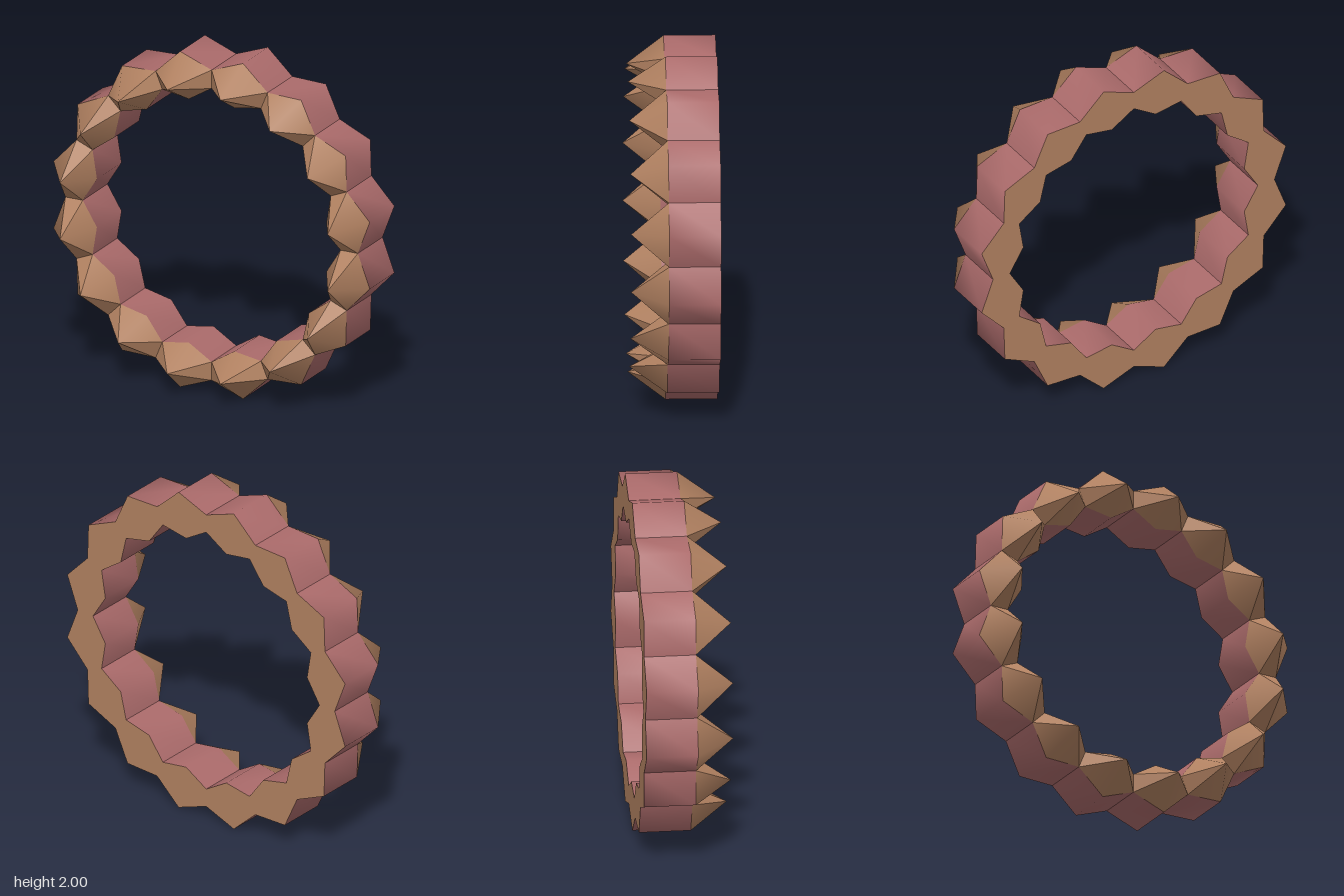
import * as THREE from 'three';
import { mergeGeometries } from 'three/addons/utils/BufferGeometryUtils.js';

const COUNT = 16, STEP = (Math.PI * 2) / COUNT;
const BACK = -0.25, RIM = 0.04, TIP = 0.25;
const OUTER_PEAK = 1 / Math.cos(STEP / 2), OUTER_VALLEY = 0.925;
const INNER_PEAK = 0.74, INNER_VALLEY = 0.815, TIP_RADIUS = 0.863;

// Point on the ring, which is centred at y = 1
const polar = (r, a, z) => [r * Math.cos(a), 1 + r * Math.sin(a), z];

// Small surface whose shared corners are shaded smoothly
function patch(points, index) {
  const g = new THREE.BufferGeometry();
  g.setAttribute('position', new THREE.Float32BufferAttribute(points.flat(), 3));
  g.setIndex(index);
  g.computeVertexNormals();
  return g;
}

// Six corners of one segment, counter-clockwise from the front
function hexagon(i, z) {
  const a = i * STEP, m = a + STEP / 2, b = a + STEP;
  return [
    polar(OUTER_VALLEY, a, z), polar(OUTER_PEAK, m, z), polar(OUTER_VALLEY, b, z),
    polar(INNER_VALLEY, b, z), polar(INNER_PEAK, m, z), polar(INNER_VALLEY, a, z),
  ];
}

export function createModel() {
  const group = new THREE.Group();
  const brown = new THREE.MeshStandardMaterial({ color: 0xb08060 });
  const red = new THREE.MeshStandardMaterial({ color: 0xaa6a6a });
  const outer = [], inner = [], spikes = [], back = [];

  for (let i = 0; i < COUNT; i++) {
    const f = hexagon(i, RIM), k = hexagon(i, BACK);
    const tip = polar(TIP_RADIUS, (i + 0.5) * STEP, TIP);

    // Walls: each bends softly over its peak and creases at the valleys
    const wall = [0, 1, 4, 0, 4, 3, 1, 2, 5, 1, 5, 4];
    outer.push(patch([k[0], k[1], k[2], f[0], f[1], f[2]], wall));
    inner.push(patch([k[3], k[4], k[5], f[3], f[4], f[5]], wall));

    // Six-sided spike: soft outer and inner flanks, flat ends
    const flank = [0, 1, 2, 0, 2, 3];
    spikes.push(patch([tip, f[0], f[1], f[2]], flank));
    spikes.push(patch([tip, f[3], f[4], f[5]], flank));
    spikes.push(patch([tip, f[2], f[3]], [0, 1, 2]));
    spikes.push(patch([tip, f[5], f[0]], [0, 1, 2]));

    // Flat back
    back.push(patch(k, [0, 2, 1, 0, 3, 2, 0, 5, 3, 3, 5, 4]));
  }

  const add = (name, parts, material) => {
    const mesh = new THREE.Mesh(mergeGeometries(parts), material);
    mesh.name = name;
    group.add(mesh);
  };
  add('outerWall', outer, red);
  add('innerWall', inner, red);
  add('frontSpikes', spikes, brown);
  add('backFace', back, brown);
  return group;
}
